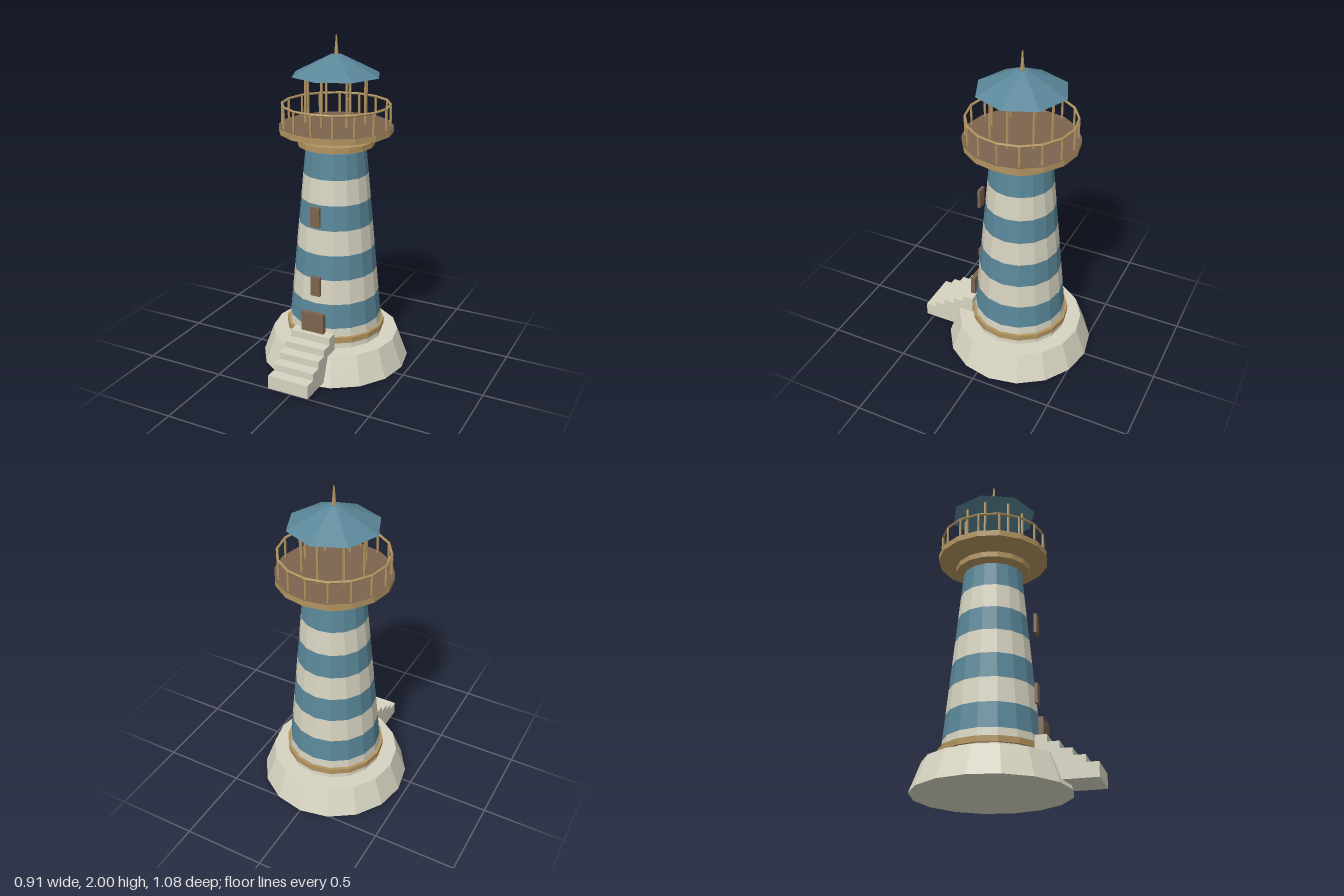
import * as THREE from 'three';

const flat = (name, color) => {
  const m = new THREE.MeshStandardMaterial({ color });
  m.name = name;
  m.flatShading = true;
  return m;
};

export function createModel() {
  const stone = flat('stone', 0xd6d3c0);
  const blue = flat('blue', 0x5a8799);
  const gold = flat('gold', 0xb2935f);
  const brown = flat('brown', 0x7c644e);

  const model = new THREE.Group();
  model.name = 'lighthouse';

  // Everything round shares one axis, set back to make room for the stairs
  const tower = new THREE.Group();
  tower.name = 'tower';
  tower.position.z = -0.085;
  model.add(tower);

  const add = (parent, name, geometry, material, x = 0, y = 0, z = 0) => {
    const mesh = new THREE.Mesh(geometry, material);
    mesh.name = name;
    mesh.position.set(x, y, z);
    parent.add(mesh);
    return mesh;
  };
  // Tapered drum between two heights
  const drum = (name, y0, y1, r0, r1, material, sides = 16, open = false) =>
    add(tower, name, new THREE.CylinderGeometry(r1, r0, y1 - y0, sides, 1, open), material, 0, (y0 + y1) / 2);
  // Ring of upright posts
  const posts = (name, count, radius, y0, y1, thickness) => {
    const geometry = new THREE.CylinderGeometry(thickness, thickness, y1 - y0, 6);
    for (let i = 0; i < count; i++) {
      const a = (i / count) * Math.PI * 2;
      add(tower, name, geometry, gold, Math.sin(a) * radius, (y0 + y1) / 2, Math.cos(a) * radius);
    }
  };

  // Foundation
  drum('base', 0, 0.175, 0.455, 0.39, stone);

  // Striped shaft
  const levels = [0.175, 0.3, 0.45, 0.6, 0.75, 0.9, 1.05, 1.2, 1.35];
  const radiusAt = (y) => 0.292 - ((y - 0.175) / 1.175) * 0.112;
  for (let i = 0; i < levels.length - 1; i++) {
    const [a, b] = [levels[i], levels[i + 1]];
    const last = i === levels.length - 2;
    drum('stripe', a, b, radiusAt(a), radiusAt(b), i % 2 ? blue : stone, 16, !last);
  }
  drum('lowerBand', 0.213, 0.248, 0.303, 0.303, gold);
  drum('upperBand', 1.368, 1.402, 0.227, 0.227, gold);

  // Gallery: gold slab with a brown floor
  const slab = drum('galleryDeck', 1.447, 1.483, 0.336, 0.336, [gold, brown, gold]);
  slab.name = 'galleryDeck';
  posts('railPost', 16, 0.315, 1.483, 1.61, 0.007);
  const rail = add(tower, 'handrail', new THREE.TorusGeometry(0.315, 0.0075, 6, 16), gold, 0, 1.607, 0);
  rail.rotation.x = Math.PI / 2;

  // Lantern posts, roof and spire
  posts('lanternPost', 8, 0.185, 1.51, 1.778, 0.008);
  drum('roof', 1.775, 1.892, 0.265, 0.032, blue, 8);
  drum('spire', 1.89, 2.0, 0.013, 0.004, gold, 8);

  // Door and windows
  add(model, 'door', new THREE.BoxGeometry(0.146, 0.122, 0.028), brown, 0, 0.341, 0.214);
  for (const y of [0.56, 0.995])
    add(model, 'window', new THREE.BoxGeometry(0.06, 0.12, 0.018), brown, 0, y, 0.18);

  // Stairs: stepped side profile extruded across the width
  const profile = new THREE.Shape();
  profile.moveTo(0.19, 0.026);
  profile.lineTo(0.535, 0.026);
  for (let i = 0; i < 5; i++) {
    const z = 0.535 - i * 0.069;
    const y = 0.11 + i * 0.0425;
    profile.lineTo(z, y);
    profile.lineTo(i < 4 ? z - 0.069 : 0.19, y);
  }
  profile.closePath();
  const stairs = new THREE.ExtrudeGeometry(profile, { depth: 0.26, bevelEnabled: false });
  stairs.rotateY(-Math.PI / 2);
  stairs.translate(0.13, 0, 0);
  add(model, 'stairs', stairs, stone);

  return model;
}
